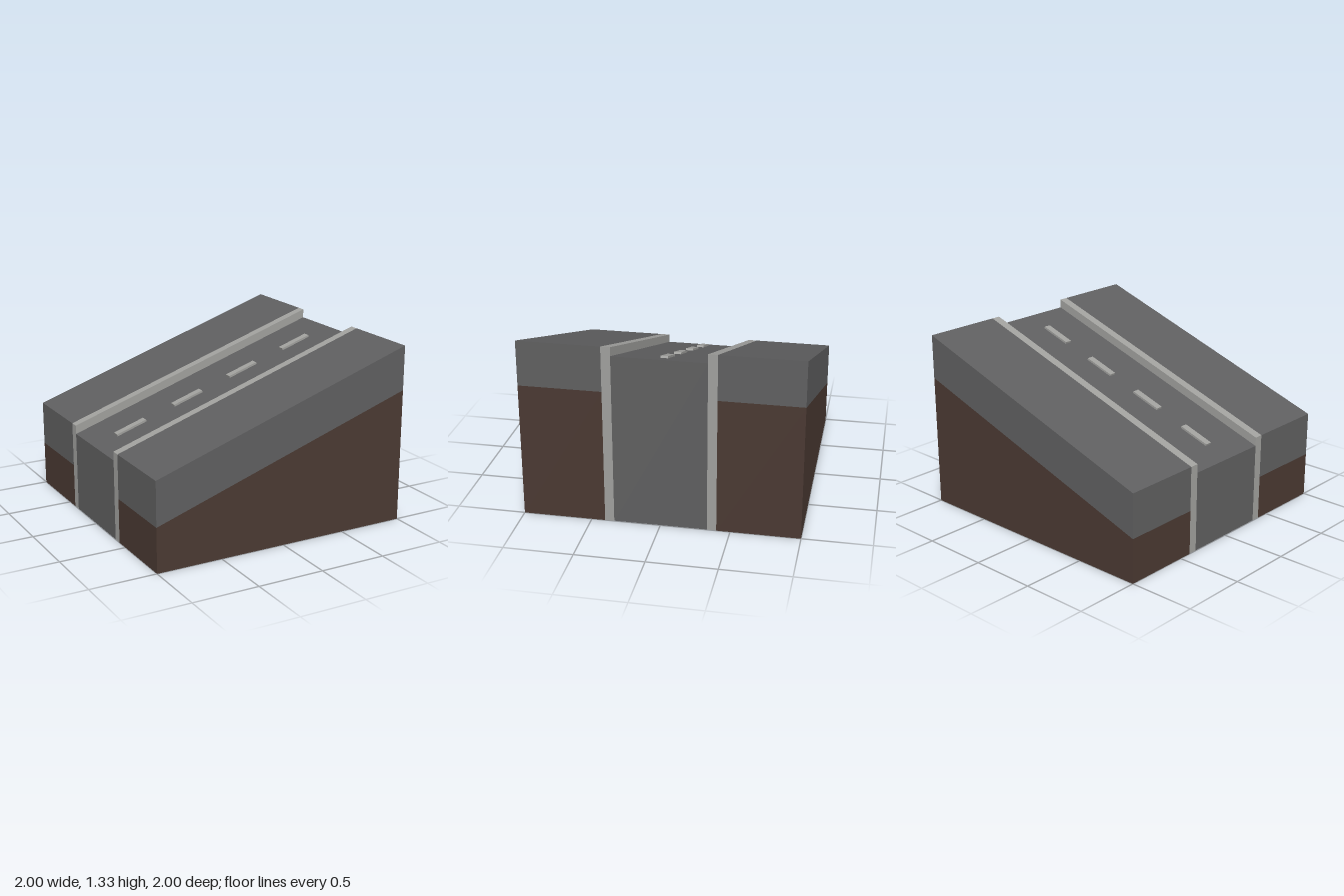
import * as THREE from 'three';

const SLOPE = 1 / 3; // rise per unit of x

function material(name, color) {
  const m = new THREE.MeshStandardMaterial({ color });
  m.name = name;
  return m;
}

// Prism spanning x -1..1 and z0..z1; bottom and top are [y at x=-1, y at x=1]
function strip(name, mat, z0, z1, bottom, top) {
  const shape = new THREE.Shape([
    new THREE.Vector2(-1, bottom[0]),
    new THREE.Vector2(1, bottom[1]),
    new THREE.Vector2(1, top[1]),
    new THREE.Vector2(-1, top[0]),
  ]);
  const geo = new THREE.ExtrudeGeometry(shape, { depth: z1 - z0, bevelEnabled: false });
  geo.translate(0, 0, z0);
  const mesh = new THREE.Mesh(geo, mat);
  mesh.name = name;
  return mesh;
}

// Heights at both ends of a sloped line through y at x = 0
const sloped = (y) => [y - SLOPE, y + SLOPE];

export function createModel() {
  const asphalt = material('asphalt grey', 0x5f5f60);
  const concrete = material('light concrete', 0xa0a09d);
  const soil = material('brown soil', 0x4a3932);

  const model = new THREE.Group();
  model.name = 'slopedRoad';

  const roadHalf = 0.335, curbOuter = 0.402;
  const topY = 1, roadY = 0.935, soilY = 0.667;
  const floor = [0.002, 0.002];

  // Road core runs down to the ground
  model.add(strip('road', asphalt, -roadHalf, roadHalf, floor, sloped(roadY)));

  // Curb, soil bank and pavement on each side
  for (const [side, s] of [['front', 1], ['back', -1]]) {
    const span = (a, b) => (s > 0 ? [a, b] : [-b, -a]);
    model.add(
      strip(side + 'Curb', concrete, ...span(roadHalf, curbOuter), floor, sloped(topY)),
      strip(side + 'Soil', soil, ...span(curbOuter, 1), [0, 0], sloped(soilY)),
      strip(side + 'Pavement', asphalt, ...span(curbOuter, 1), sloped(soilY), sloped(topY)),
    );
  }

  // Soil underside beneath the road and curbs
  const underside = new THREE.Mesh(new THREE.PlaneGeometry(2, 2 * curbOuter), soil);
  underside.rotation.x = Math.PI / 2;
  underside.name = 'underside';
  model.add(underside);

  // Raised centre-line dashes lying along the slope
  const angle = Math.atan(SLOPE);
  const dashGeo = new THREE.BoxGeometry(0.235 / Math.cos(angle), 0.03, 0.053);
  for (let i = 0; i < 4; i++) {
    const x = -0.706 + i * 0.469;
    const dash = new THREE.Mesh(dashGeo, concrete);
    dash.position.set(x, roadY + SLOPE * x, 0);
    dash.rotation.z = angle;
    dash.name = 'centreDash' + (i + 1);
    model.add(dash);
  }

  return model;
}
